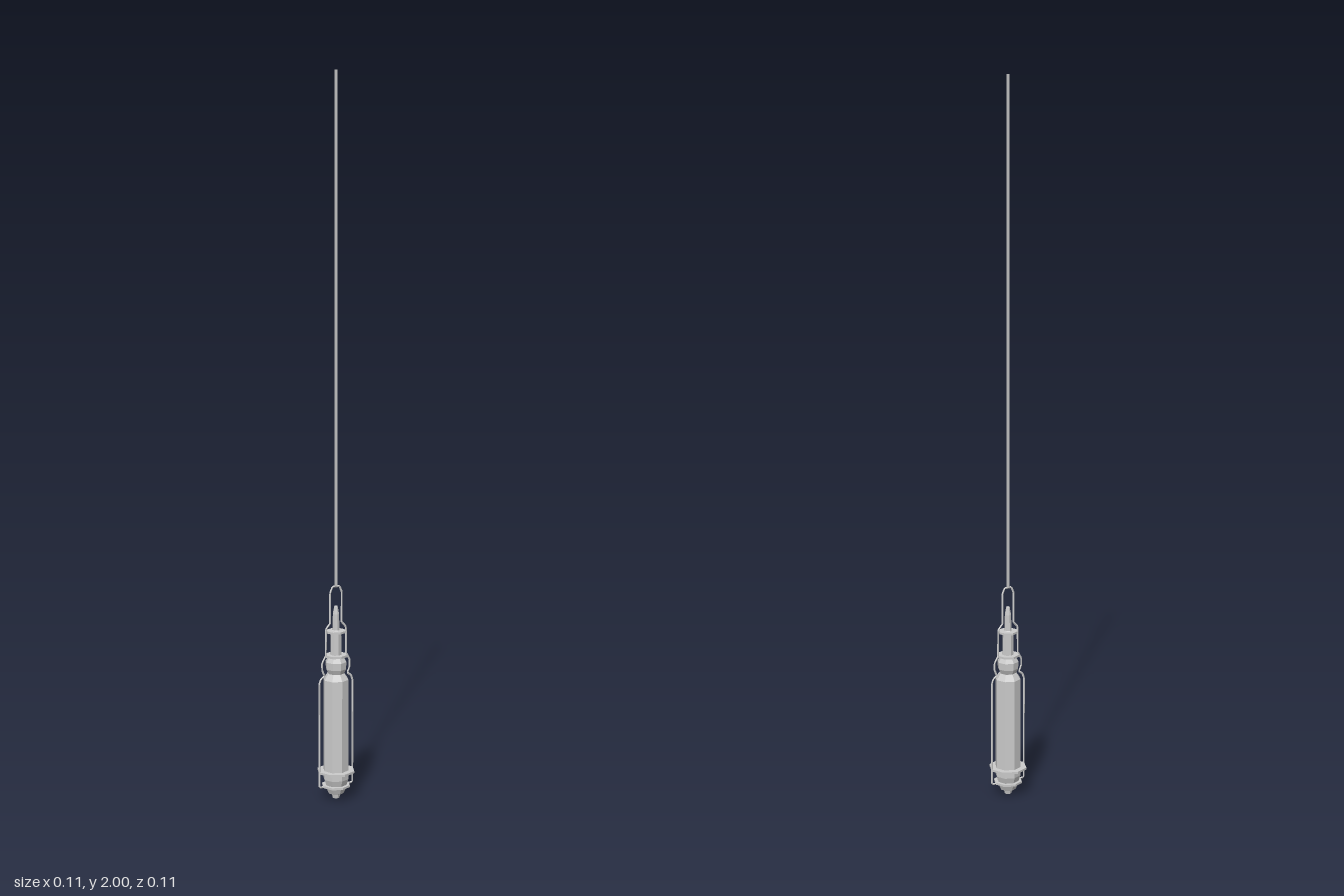
import * as THREE from 'three';

const mat = new THREE.MeshStandardMaterial({ color: 0xcccccc, flatShading: true, side: THREE.DoubleSide });

export function createModel() {
  const group = new THREE.Group();
  const add = (name, geometry) => {
    const mesh = new THREE.Mesh(geometry, mat);
    mesh.name = name;
    group.add(mesh);
    return mesh;
  };
  // Eight-sided turned part from [radius, height] pairs
  const turned = (name, profile) =>
    add(name, new THREE.LatheGeometry(profile.map(([r, y]) => new THREE.Vector2(r, y)), 8));
  const disc = (name, y, r, h = 0.006) =>
    add(name, new THREE.CylinderGeometry(r, r, h, 8)).position.set(0, y, 0);

  // Lantern body, from the finial below to the spire above
  turned('bottomFinial', [[0, 0], [0.01, 0.004], [0.012, 0.014], [0.022, 0.018], [0.03, 0.036], [0.03, 0.045]]);
  turned('lanternBody', [[0, 0.04], [0.03, 0.042], [0.036, 0.06], [0.036, 0.345], [0.024, 0.362], [0, 0.362]]);
  turned('bulb', [[0.022, 0.36], [0.029, 0.375], [0.03, 0.395], [0.02, 0.412]]);
  turned('neck', [[0.016, 0.41], [0.015, 0.48], [0.01, 0.485], [0.009, 0.53], [0.005, 0.552], [0, 0.554]]);

  // Flat collars
  disc('lowerCollar', 0.04, 0.04);
  disc('wideCollar', 0.082, 0.053);
  disc('bulbCollar', 0.412, 0.031);
  disc('neckCollar', 0.48, 0.027);

  // Flat wire frame, mirrored about x and closed by the loop at the top
  const side = [
    [0.03, 0.04], [0.052, 0.04], [0.052, 0.337], [0.047, 0.35], [0.036, 0.358], [0.043, 0.375],
    [0.043, 0.395], [0.032, 0.415], [0.031, 0.49], [0.018, 0.505], [0.018, 0.59], [0.011, 0.607],
  ];
  const points = [...side, ...side.map(([x, y]) => [-x, y]).reverse()];
  const path = new THREE.CurvePath();
  const at = ([x, y]) => new THREE.Vector3(x, y, 0);
  for (let i = 1; i < points.length; i++) path.add(new THREE.LineCurve3(at(points[i - 1]), at(points[i])));
  const wire = new THREE.TubeGeometry(path, 260, 0.003, 4, false);
  add('wireFrame', wire).scale.z = 0.7;

  // Long hanging cord
  const cord = add('hangingCord', new THREE.BoxGeometry(0.006, 1.393, 0.004));
  cord.position.y = 1.3035;
  return group;
}
